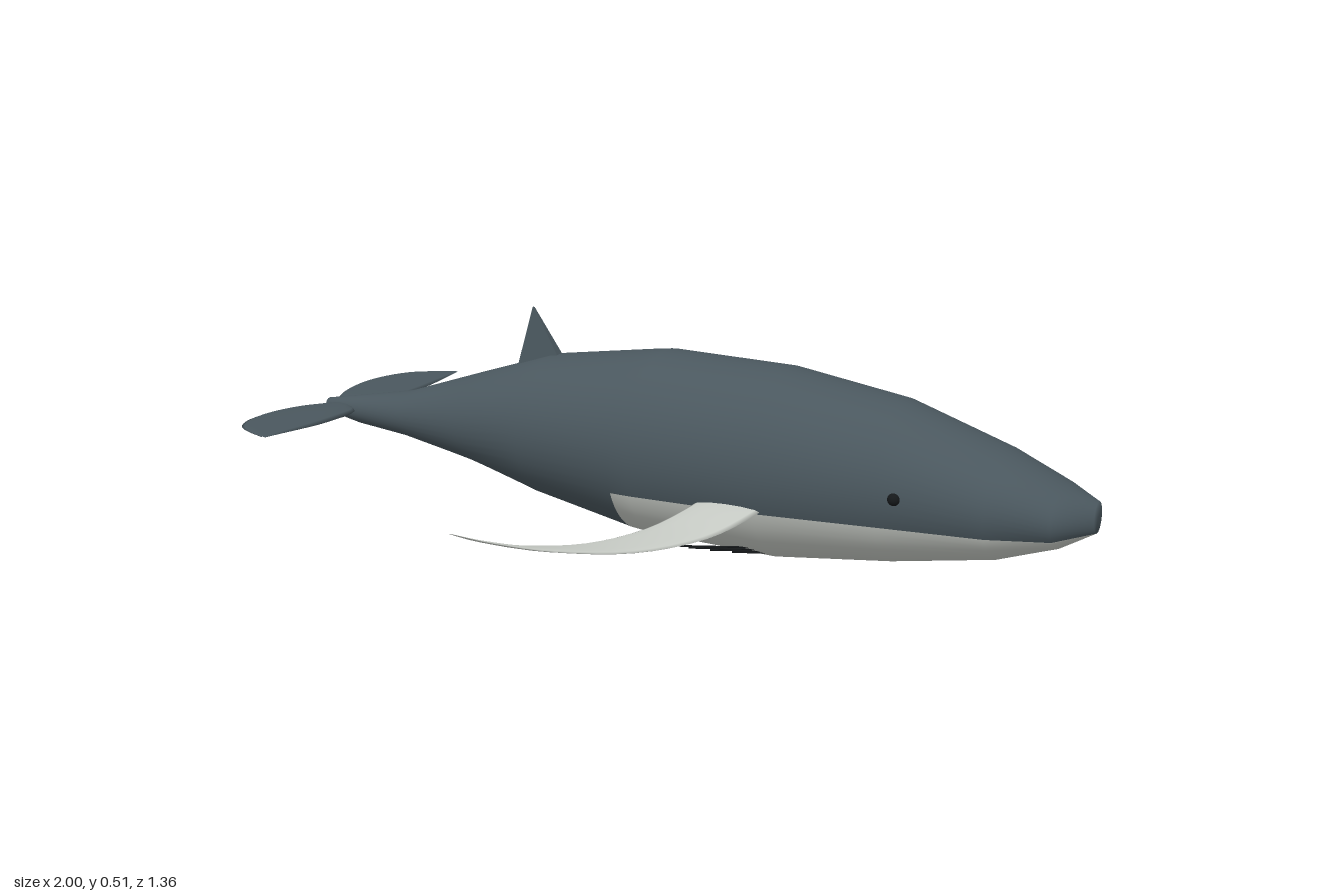
import * as THREE from 'three';

const mat = (color) => new THREE.MeshStandardMaterial({ color });
const SLATE = mat(0x4a575e), PALE = mat(0xc6cac4), BLACK = mat(0x15181a);

function add(parent, name, geometry, material) {
  const mesh = new THREE.Mesh(geometry, material);
  mesh.name = name;
  parent.add(mesh);
  return mesh;
}

// Skin a list of closed rings; keep(i, j) selects quads
function skin(rows, flip, keep = () => true) {
  const n = rows[0].length, index = [];
  for (let i = 0; i < rows.length - 1; i++) for (let j = 0; j < n; j++) {
    if (!keep(i, j)) continue;
    const k = (j + 1) % n;
    const a = i * n + j, b = a + n, c = i * n + k, d = c + n;
    if (flip) index.push(a, c, b, b, c, d);
    else index.push(a, b, c, b, d, c);
  }
  const g = new THREE.BufferGeometry();
  g.setAttribute('position', new THREE.Float32BufferAttribute(rows.flat(2), 3));
  g.setIndex(index);
  return g;
}

// Body stations: x, top, bottom, half width
const STATIONS = [
  [-0.95, 0.21, 0.21, 0], [-0.95, 0.228, 0.195, 0.016], [-0.85, 0.245, 0.175, 0.036],
  [-0.7, 0.272, 0.16, 0.066], [-0.5, 0.337, 0.125, 0.122], [-0.3, 0.4, 0.072, 0.174],
  [-0.05, 0.434, 0.02, 0.197], [0, 0.44, 0.014, 0.2], [0.3, 0.43, 0.002, 0.195],
  [0.57, 0.386, 0.03, 0.168], [0.8, 0.305, 0.068, 0.145], [0.93, 0.245, 0.11, 0.107],
  [1, 0.216, 0.148, 0.03], [1, 0.18, 0.18, 0],
];
const BELLY_START = 6, UPPER = 32, LOWER = 24;

function bodyRows() {
  return STATIONS.map(([x, top, bottom, w]) => {
    const c = (top + bottom) / 2, r = (top - bottom) / 2;
    // Angle where the dark back meets the pale belly
    const s = r > 0 ? (0.142 - c) / r : -0.9;
    const a = Math.asin(THREE.MathUtils.clamp(s, -0.95, -0.2));
    const ring = [];
    for (let j = 0; j < UPPER + LOWER; j++) {
      const t = j < UPPER
        ? a + (Math.PI - 2 * a) * j / UPPER
        : Math.PI - a + (Math.PI + 2 * a) * (j - UPPER) / LOWER;
      ring.push([x, c + r * Math.sin(t), w * Math.cos(t)]);
    }
    return ring;
  });
}

// Thin curved blade reaching sideways: stations z, rear x, front x, y, thickness
function blade(stations, side) {
  const rows = stations.map(([z, x0, x1, y, t]) => {
    const ring = [];
    for (let j = 0; j < 12; j++) {
      const a = j / 12 * Math.PI * 2;
      ring.push([(x0 + x1) / 2 + (x1 - x0) / 2 * Math.cos(a), y + t / 2 * Math.sin(a), z * side]);
    }
    return ring;
  });
  const g = skin(rows, side > 0);
  g.computeVertexNormals();
  return g;
}

// Refine coarse stations with a smooth curve through each column
function refine(stations, count) {
  const cols = stations[0].map((_, k) => new THREE.SplineCurve(
    stations.map((s, i) => new THREE.Vector2(i, s[k]))));
  return Array.from({ length: count + 1 }, (_, i) => cols.map((c) => c.getPoint(i / count).y));
}

const FLIPPER = refine([
  [0.12, 0.165, 0.32, 0.158, 0.02], [0.2, 0.16, 0.315, 0.145, 0.02],
  [0.33, 0.115, 0.265, 0.121, 0.015], [0.46, 0.04, 0.17, 0.114, 0.011],
  [0.57, -0.045, 0.045, 0.128, 0.008], [0.64, -0.11, -0.06, 0.15, 0.005],
  [0.68, -0.147, -0.138, 0.17, 0.001],
], 24);

const FLUKE = refine([
  [0.005, -0.93, -0.88, 0.214, 0.02], [0.03, -0.94, -0.855, 0.215, 0.022],
  [0.06, -0.965, -0.833, 0.216, 0.024], [0.12, -0.988, -0.824, 0.218, 0.024],
  [0.2, -1, -0.82, 0.22, 0.021], [0.28, -0.985, -0.823, 0.223, 0.015],
  [0.35, -0.938, -0.828, 0.226, 0.009], [0.4, -0.842, -0.833, 0.228, 0.002],
], 24);

export function createModel() {
  const model = new THREE.Group();
  model.name = 'whale';

  // Body and belly share one skin so the shading is continuous
  const rows = bodyRows();
  const whole = skin(rows, false);
  whole.computeVertexNormals();
  const isBelly = (i, j) => i >= BELLY_START && i < STATIONS.length - 2 && j >= UPPER;
  const part = (keep) => skin(rows, false, keep).setAttribute('normal', whole.attributes.normal);
  add(model, 'body', part((i, j) => !isBelly(i, j)), SLATE);
  add(model, 'belly', part(isBelly), PALE);

  // Dorsal fin: a box drawn in to a swept tip
  const fin = new THREE.BoxGeometry(1, 1, 1).toNonIndexed();
  const p = fin.attributes.position;
  for (let i = 0; i < p.count; i++) {
    const front = p.getX(i) > 0, z = Math.sign(p.getZ(i));
    if (p.getY(i) > 0) p.setXYZ(i, front ? -0.348 : -0.352, 0.508, z * 0.001);
    else p.setXYZ(i, front ? -0.262 : -0.386, 0.37, z * 0.015);
  }
  fin.computeVertexNormals();
  add(model, 'dorsalFin', fin, SLATE);

  for (const side of [1, -1]) {
    const label = side > 0 ? 'front' : 'back';
    add(model, label + 'Flipper', blade(FLIPPER, side), PALE);
    add(model, label + 'Fluke', blade(FLUKE, side), SLATE);

    const eye = add(model, label + 'Eye', new THREE.SphereGeometry(0.014, 16, 12), BLACK);
    eye.position.set(0.613, 0.21, side * 0.16);

    // Throat grooves: staggered thin strands along the belly
    for (let i = 0; i < 4; i++) {
      const path = new THREE.LineCurve3(
        new THREE.Vector3(0.06 + 0.05 * i, 0.018, side * (0.115 - 0.008 * i)),
        new THREE.Vector3(0.4 + 0.05 * i, 0.056, side * (0.1 - 0.008 * i)));
      add(model, label + 'Groove' + (i + 1), new THREE.TubeGeometry(path, 1, 0.002, 6), BLACK);
    }
  }
  return model;
}
